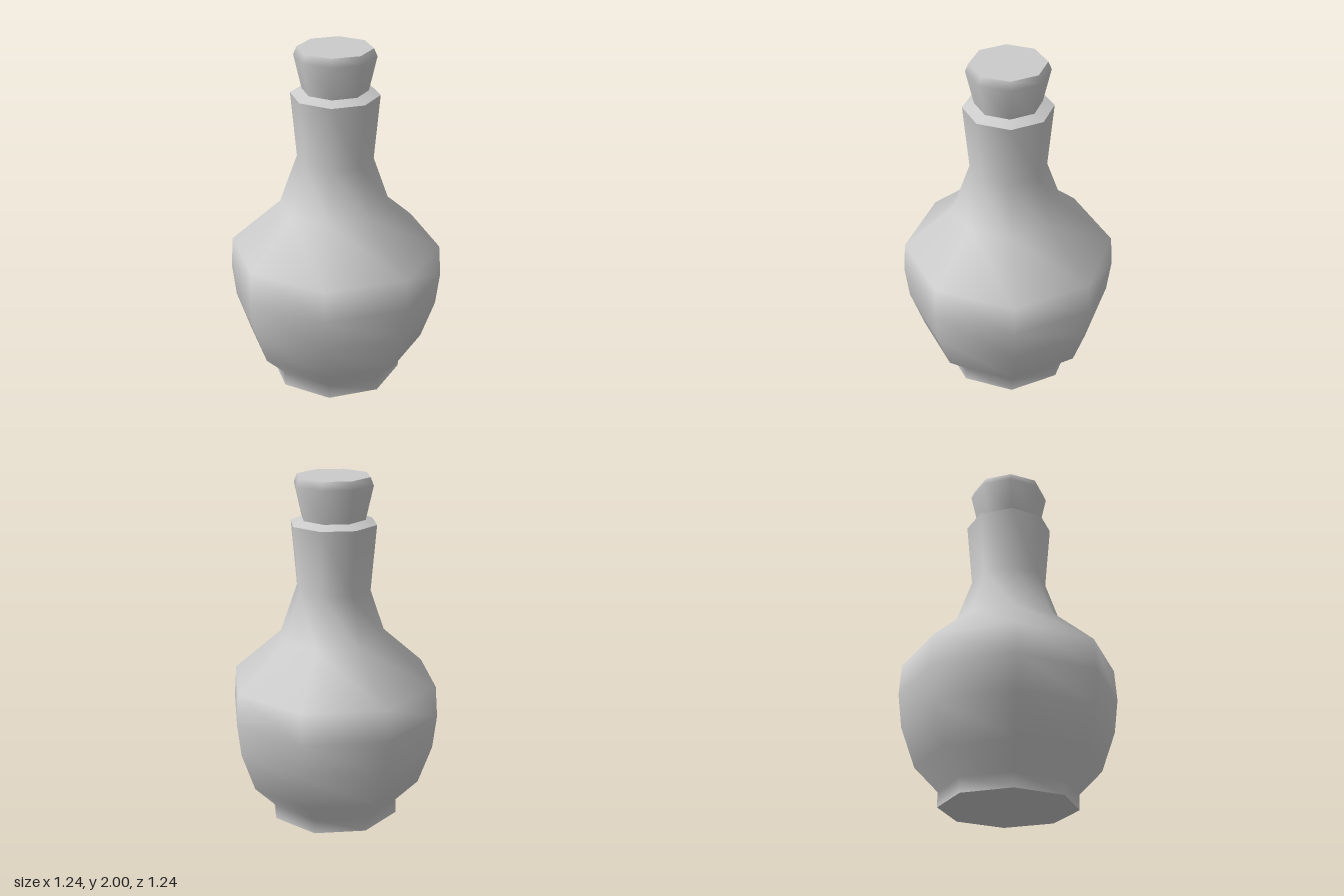
import * as THREE from 'three';

const SIDES = 8;
const material = new THREE.MeshStandardMaterial({ color: 0xcccccc });

// Eight-sided surface of revolution from [radius, height] pairs, bottom to top
function turned(name, profile) {
  const points = profile.map(([r, y]) => new THREE.Vector2(r, y));
  const mesh = new THREE.Mesh(new THREE.LatheGeometry(points, SIDES), material);
  mesh.name = name;
  return mesh;
}

// Flat octagonal cap, facing up or down
function cap(name, radius, y, up) {
  const geometry = new THREE.CircleGeometry(radius, SIDES);
  geometry.rotateX(up ? -Math.PI / 2 : Math.PI / 2);
  geometry.translate(0, y, 0);
  const mesh = new THREE.Mesh(geometry, material);
  mesh.name = name;
  return mesh;
}

export function createModel() {
  const model = new THREE.Group();
  model.name = 'stopperedBottle';

  // Bottle: foot, round belly, sloping shoulder and flared neck
  const bottle = new THREE.Group();
  bottle.name = 'bottle';
  bottle.add(
    cap('base', 0.385, 0, false),
    turned('body', [
      [0.385, 0], [0.385, 0.085], [0.515, 0.22], [0.595, 0.45], [0.618, 0.645],
      [0.605, 0.825], [0.318, 1.08], [0.217, 1.365], [0.25, 1.738],
    ]),
    turned('lip', [[0.25, 1.738], [0.185, 1.763]]),
  );

  // Stopper: widens upward, with a bevelled top edge
  const stopper = new THREE.Group();
  stopper.name = 'stopper';
  stopper.add(
    turned('stopperSide', [[0.185, 1.763], [0.229, 1.955], [0.21, 2]]),
    cap('stopperTop', 0.21, 2, true),
  );

  model.add(bottle, stopper);
  return model;
}
